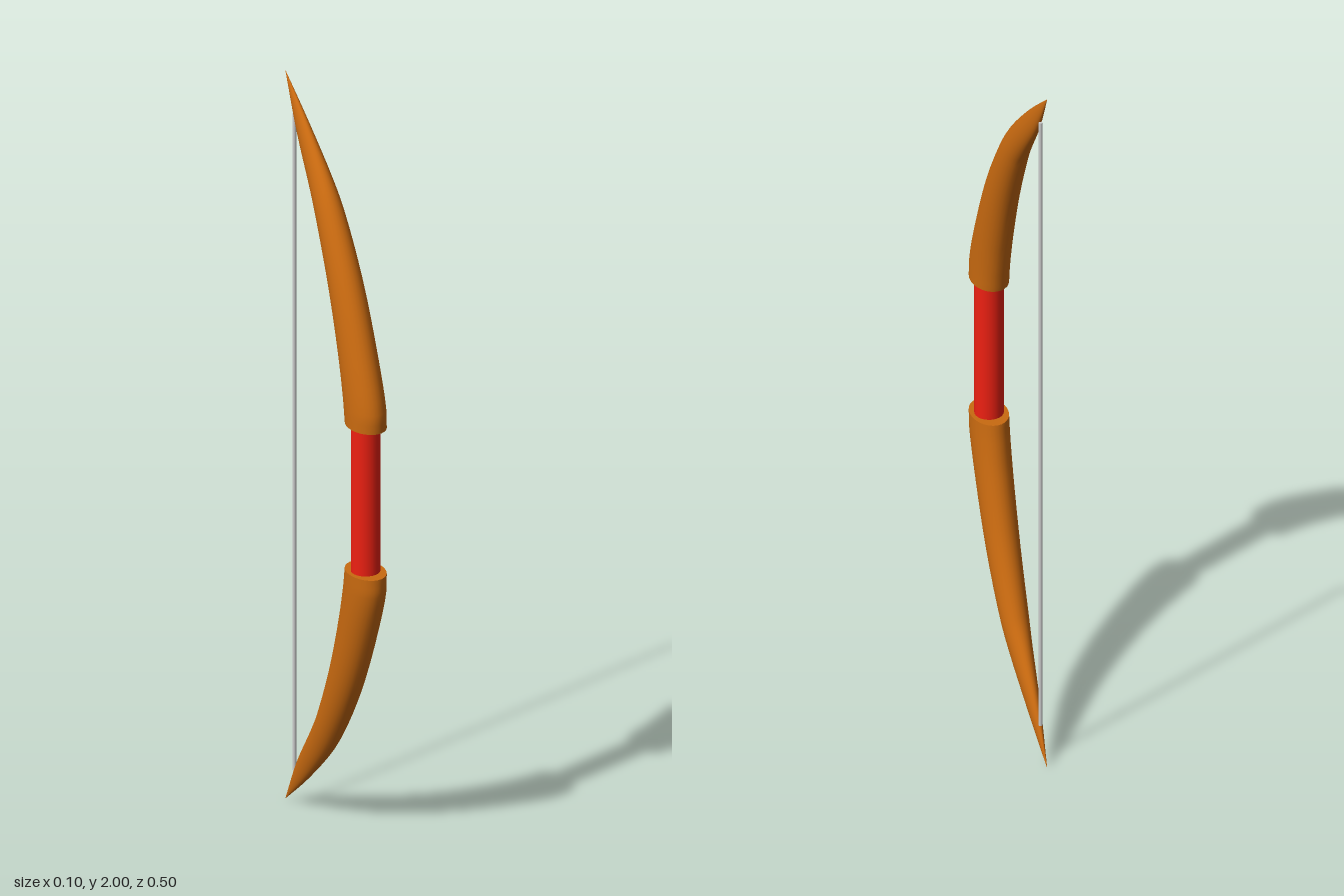
import * as THREE from 'three';

const wood = new THREE.MeshStandardMaterial({ color: 0xc96a10 });
const grip = new THREE.MeshStandardMaterial({ color: 0xee2012 });
const grey = new THREE.MeshStandardMaterial({ color: 0xcccccc });

// Limb stations from grip to tip: front edge z, y; back edge z, y; half width
const STATIONS = [
  [0.25, 1.2, 0.117, 1.2, 0.048],
  [0.249, 1.25, 0.108, 1.25, 0.048],
  [0.2, 1.395, 0.086, 1.345, 0.046],
  [0.12, 1.575, 0.032, 1.51, 0.042],
  [0.03, 1.725, -0.045, 1.675, 0.035],
  [-0.02, 1.79, -0.082, 1.732, 0.029],
  [-0.13, 1.9, -0.175, 1.865, 0.015],
  [-0.247, 2, -0.247, 2, 0],
];

// Lofts elliptical cross-sections between the front and back edge curves
function limbGeometry(rings = 28, sides = 28) {
  const front = new THREE.CatmullRomCurve3(STATIONS.map(s => new THREE.Vector3(s[4], s[1], s[0])));
  const back = new THREE.CatmullRomCurve3(STATIONS.map(s => new THREE.Vector3(s[4], s[3], s[2])));
  const positions = [], index = [];
  const addRing = (t) => {
    const f = front.getPoint(t), b = back.getPoint(t);
    const centre = f.clone().add(b).multiplyScalar(0.5);
    const half = f.clone().sub(b).multiplyScalar(0.5);
    for (let j = 0; j < sides; j++) {
      const a = (j / sides) * Math.PI * 2, s = Math.sin(a);
      positions.push(f.x * Math.cos(a), centre.y + half.y * s, centre.z + half.z * s);
    }
  };
  for (let i = 0; i <= rings; i++) addRing(i / rings);
  for (let i = 0; i < rings; i++) {
    for (let j = 0; j < sides; j++) {
      const k = (j + 1) % sides, r = i * sides, n = r + sides;
      index.push(r + j, n + j, r + k, n + j, n + k, r + k);
    }
  }
  // Flat end cap with its own vertices for a sharp edge
  const start = positions.length / 3;
  addRing(0);
  for (let j = 1; j < sides - 1; j++) index.push(start, start + j, start + j + 1);

  const geometry = new THREE.BufferGeometry();
  geometry.setAttribute('position', new THREE.Float32BufferAttribute(positions, 3));
  geometry.setIndex(index);
  geometry.computeVertexNormals();
  return geometry;
}

export function createModel() {
  const bow = new THREE.Group();
  bow.name = 'bow';
  const add = (name, geometry, material, y = 0, z = 0) => {
    const mesh = new THREE.Mesh(geometry, material);
    mesh.name = name;
    mesh.position.set(0, y, z);
    bow.add(mesh);
    return mesh;
  };

  // Limbs: the lower one is the upper one turned half round about z
  const limb = limbGeometry();
  add('upperLimb', limb, wood);
  add('lowerLimb', limb, wood, 2).rotation.z = Math.PI;

  // Grip between the limbs, and the string near the tips
  add('handle', new THREE.CylinderGeometry(0.037, 0.037, 0.42, 32), grip, 1, 0.183);
  add('bowString', new THREE.CylinderGeometry(0.005, 0.005, 1.8, 12), grey, 1, -0.198);
  return bow;
}
